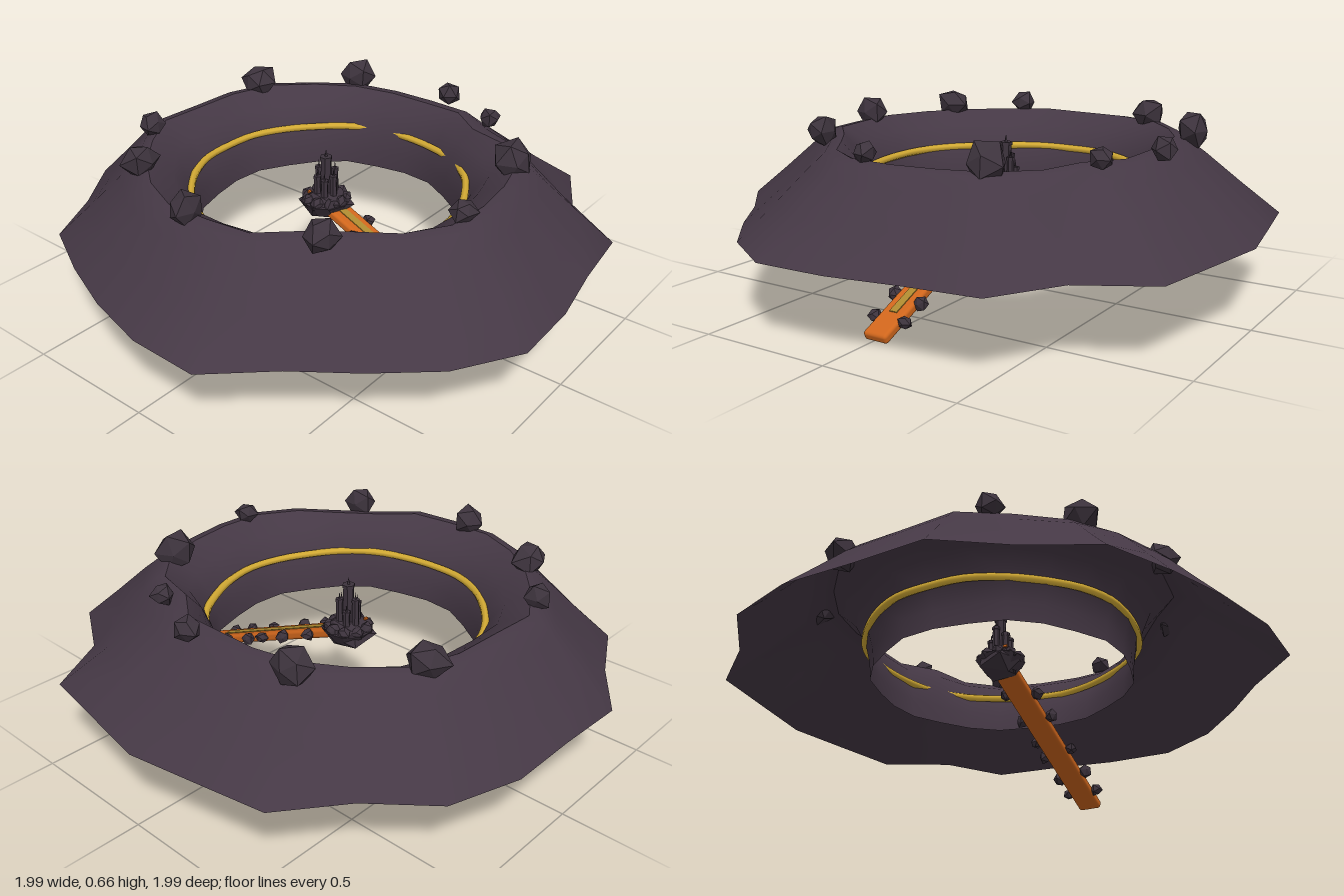
import * as THREE from 'three';
import { RoundedBoxGeometry } from 'three/addons/geometries/RoundedBoxGeometry.js';

const mat = (name, color, extra = {}) => {
  const m = new THREE.MeshStandardMaterial({ color, ...extra });
  m.name = name;
  return m;
};

export function createModel() {
  const group = new THREE.Group();
  const basalt = mat('basalt', 0x453845, { side: THREE.DoubleSide });
  const stone = mat('dark stone', 0x3d333d, { flatShading: true });
  const gold = mat('gold', 0xd6ad35);
  const inlay = mat('dull gold', 0xae8a30);
  const orange = mat('orange', 0xd0661c);

  const add = (parent, name, geo, material, x = 0, y = 0, z = 0) => {
    const m = new THREE.Mesh(geo, material);
    m.name = name;
    m.position.set(x, y, z);
    parent.add(m);
    return m;
  };

  // Radii of the foot and crest of the crater, every 15 degrees from the back
  const foot = [.985, 1.02, 1.04, .98, 1.05, .99, 1, .99, 1.05, .94, 1.04, .97,
    .985, 1.03, .99, .94, .935, 1.03, .99, .96, .965, 1.015, .97, 1.03];
  const crest = [.675, .69, .70, .67, .65, .62, .60, .62, .58, .65, .67, .65,
    .65, .66, .63, .58, .58, .64, .64, .67, .67, .67, .68, .71];
  const N = foot.length;
  const throat = i => .487 + .008 * Math.sin(i * 2.1);

  // Joins closed rings of points into a smooth shell
  function shell(rows) {
    const pos = [], idx = [];
    rows.forEach(({ y, r, cx = 0, cz = 0 }) => {
      for (let i = 0; i < N; i++) {
        const a = i / N * Math.PI * 2, d = r(i);
        pos.push(cx + d * Math.sin(a), y, cz - d * Math.cos(a));
      }
    });
    for (let j = 0; j < rows.length - 1; j++) {
      for (let i = 0; i < N; i++) {
        const k = (i + 1) % N;
        const a = j * N + i, d = j * N + k, b = a + N, c = d + N;
        idx.push(a, d, c, a, c, b);
      }
    }
    const g = new THREE.BufferGeometry();
    g.setAttribute('position', new THREE.Float32BufferAttribute(pos, 3));
    g.setIndex(idx);
    g.computeVertexNormals();
    return g;
  }

  // Outer slope, crest to foot, and inner wall, throat to crest
  const outer = [[0, .575], [.12, .568], [.3, .515], [.62, .41], [1, .29]];
  add(group, 'outerSlope', shell(outer.map(([w, y]) => (
    { y, r: i => crest[i] + (foot[i] - crest[i]) * w }))), basalt);
  const inner = [[0, .29], [.04, .36], [.18, .44], [.5, .52], [1, .575]];
  add(group, 'innerWall', shell(inner.map(([w, y]) => (
    { y, cx: .01 * (1 - w), cz: -.02 * (1 - w), r: i => throat(i) * (1 - w) + crest[i] * w }))), basalt);

  // Gold band set into the inner wall
  const bandPts = [];
  for (let i = 0; i < N; i++) {
    const a = i / N * Math.PI * 2, r = .515 + .006 * Math.sin(i * 1.7);
    bandPts.push(new THREE.Vector3(.01 + r * Math.sin(a), .44, -.025 - r * Math.cos(a)));
  }
  add(group, 'goldBand', new THREE.TubeGeometry(
    new THREE.CatmullRomCurve3(bandPts, true), 72, .015, 6, true), gold);

  // Rough boulder: an icosahedron pushed about by a rule on vertex position
  function rock(parent, name, x, y, z, r, seed, flat = 1) {
    const g = new THREE.IcosahedronGeometry(1, 0);
    const p = g.attributes.position, v = new THREE.Vector3();
    for (let i = 0; i < p.count; i++) {
      v.fromBufferAttribute(p, i);
      v.multiplyScalar(1 + .16 * Math.sin(v.x * 5 + v.y * 7 + v.z * 9 + seed * 2.3));
      p.setXYZ(i, v.x * r, v.y * r * flat, v.z * r);
    }
    g.computeVertexNormals();
    const m = add(parent, name, g, stone, x, y, z);
    m.rotation.y = seed * 1.3;
    return m;
  }

  // Boulders on the crest
  [[-.285, -.65, .05], [.31, -.645, .072], [.62, -.36, .066], [.69, .05, .05],
    [.59, .31, .042], [.32, .57, .072], [-.11, .64, .046], [-.525, .385, .06],
    [-.665, -.08, .06], [-.52, -.455, .07]]
    .forEach(([x, z, r], i) => rock(group, 'crestBoulder', x, .6, z, r, i));

  // Sloping causeway with a gold inlay
  const slope = .405;
  const causeway = new THREE.Group();
  causeway.name = 'causeway';
  causeway.position.set(.01, .183, .38);
  causeway.rotation.x = slope;
  group.add(causeway);
  add(causeway, 'causewayDeck', new RoundedBoxGeometry(.095, .035, .83, 2, .012), orange);
  add(causeway, 'causewayInlay', new THREE.BoxGeometry(.03, .006, .7), inlay, 0, .018, -.05);

  // Stones along both edges of the causeway
  const deckY = z => .19 - (z - .38) * Math.tan(slope);
  [[-1, [.14, .26, .44, .57, .68]], [1, [.12, .26, .38, .46, .59, .68]]]
    .forEach(([s, zs]) => zs.forEach((z, i) =>
      rock(group, 'causewayStone', .01 + s * .062, deckY(z), z, .026, i + s * 4)));

  // Island in the middle
  const citadel = new THREE.Group();
  citadel.name = 'citadel';
  citadel.position.set(.01, 0, -.035);
  group.add(citadel);
  rock(citadel, 'islandRock', 0, .355, 0, .095, 2, .55);
  add(citadel, 'islandBase', new THREE.CylinderGeometry(.095, .06, .05, 9), stone, 0, .345, 0);
  for (let i = 0; i < 9; i++) {
    const a = i / 9 * Math.PI * 2;
    rock(citadel, 'islandStone', .07 * Math.sin(a), .375, .07 * Math.cos(a), .026, i);
  }

  // Cluster of towers with pointed tips
  function tower(x, z, r, top) {
    add(citadel, 'tower', new THREE.CylinderGeometry(r * .85, r, top - .36, 6), stone, x, (top + .36) / 2, z);
    add(citadel, 'towerCap', new THREE.CylinderGeometry(r, r, .012, 6), stone, x, top, z);
    add(citadel, 'towerSpike', new THREE.ConeGeometry(r * .3, .03, 4), stone, x, top + .02, z);
  }
  tower(0, 0, .024, .54);
  for (let i = 0; i < 6; i++) {
    const a = i / 6 * Math.PI * 2;
    tower(.035 * Math.sin(a), .035 * Math.cos(a), .015, .47 + .025 * Math.sin(i * 2.4));
  }

  // Small glowing vent on the island
  add(citadel, 'emberVent', new THREE.BoxGeometry(.015, .008, .008), orange, -.045, .402, -.045);
  return group;
}
